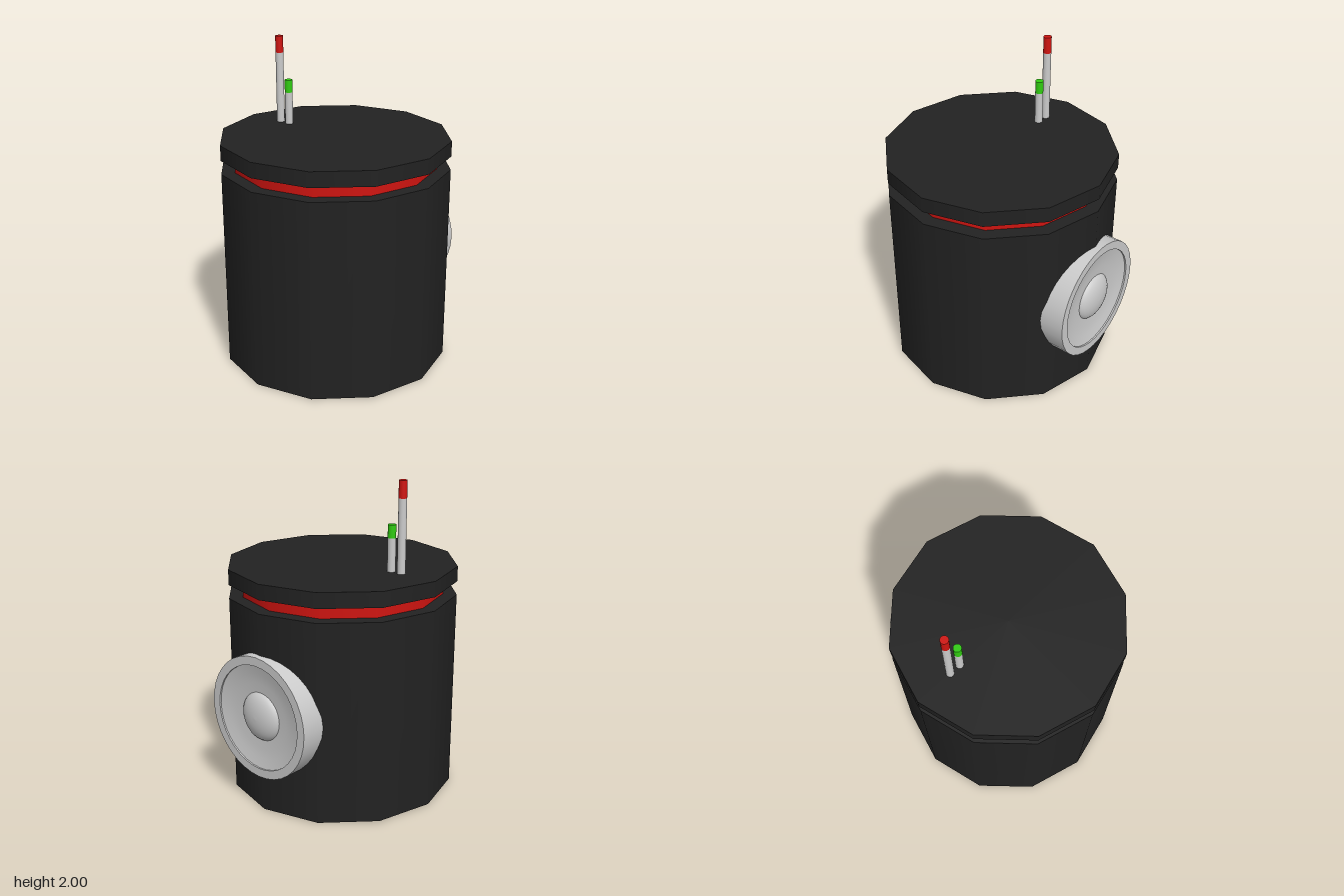
import * as THREE from 'three';

const CENTRE_Z = 0.027; // axis of the drum

const paint = (color) => new THREE.MeshStandardMaterial({ color });

export function createModel() {
  const model = new THREE.Group();
  const black = paint(0x222222);
  const red = paint(0xd01410);
  const green = paint(0x30cc10);
  const grey = paint(0xcccccc);

  // Upright cylinder between two heights
  function post(name, radius, bottom, top, sides, material, x = 0) {
    const mesh = new THREE.Mesh(
      new THREE.CylinderGeometry(radius, radius, top - bottom, sides), material);
    mesh.name = name;
    mesh.position.set(x, (bottom + top) / 2, CENTRE_Z);
    model.add(mesh);
  }

  // Twelve-sided drum, recessed band and lid
  post('body', 0.72, 0, 1.265, 12, black);
  post('band', 0.635, 1.265, 1.35, 12, red);
  post('lid', 0.72, 1.35, 1.445, 12, black);

  // Two antennas with coloured tips
  const antennas = [
    ['tall', -0.468, 1.895, 2.0, red],
    ['short', -0.393, 1.65, 1.73, green],
  ];
  for (const [name, x, join, top, tip] of antennas) {
    post(name + 'AntennaRod', 0.025, 1.44, join, 20, grey, x);
    post(name + 'AntennaTip', 0.025, join, top, 20, tip, x);
  }

  // Speaker on the back; profiles are [radius, distance behind the centre]
  const speaker = new THREE.Group();
  speaker.name = 'speaker';
  speaker.position.y = 0.625;
  speaker.rotation.x = -Math.PI / 2;
  model.add(speaker);

  function turned(name, profile) {
    const points = profile.map(([r, h]) => new THREE.Vector2(r, h));
    const mesh = new THREE.Mesh(new THREE.LatheGeometry(points, 36), grey);
    mesh.name = name;
    speaker.add(mesh);
  }

  turned('speakerBase', [[0, 0.54], [0.385, 0.54]]);
  turned('speakerShell', [[0.385, 0.54], [0.385, 0.732]]);
  turned('speakerRim', [[0.385, 0.732], [0.33, 0.732]]);
  turned('speakerRimInside', [[0.33, 0.732], [0.33, 0.722]]);
  turned('speakerCone', [[0.33, 0.722], [0.27, 0.709], [0.21, 0.701], [0.14, 0.697]]);

  // Domed cap in the middle of the cone
  const dome = [];
  for (let i = 0; i <= 8; i++) {
    const a = (i / 8) * Math.PI / 2;
    dome.push([0.155 * Math.cos(a), 0.685 + 0.066 * Math.sin(a)]);
  }
  dome[8][0] = 0;
  turned('speakerDome', dome);

  return model;
}
